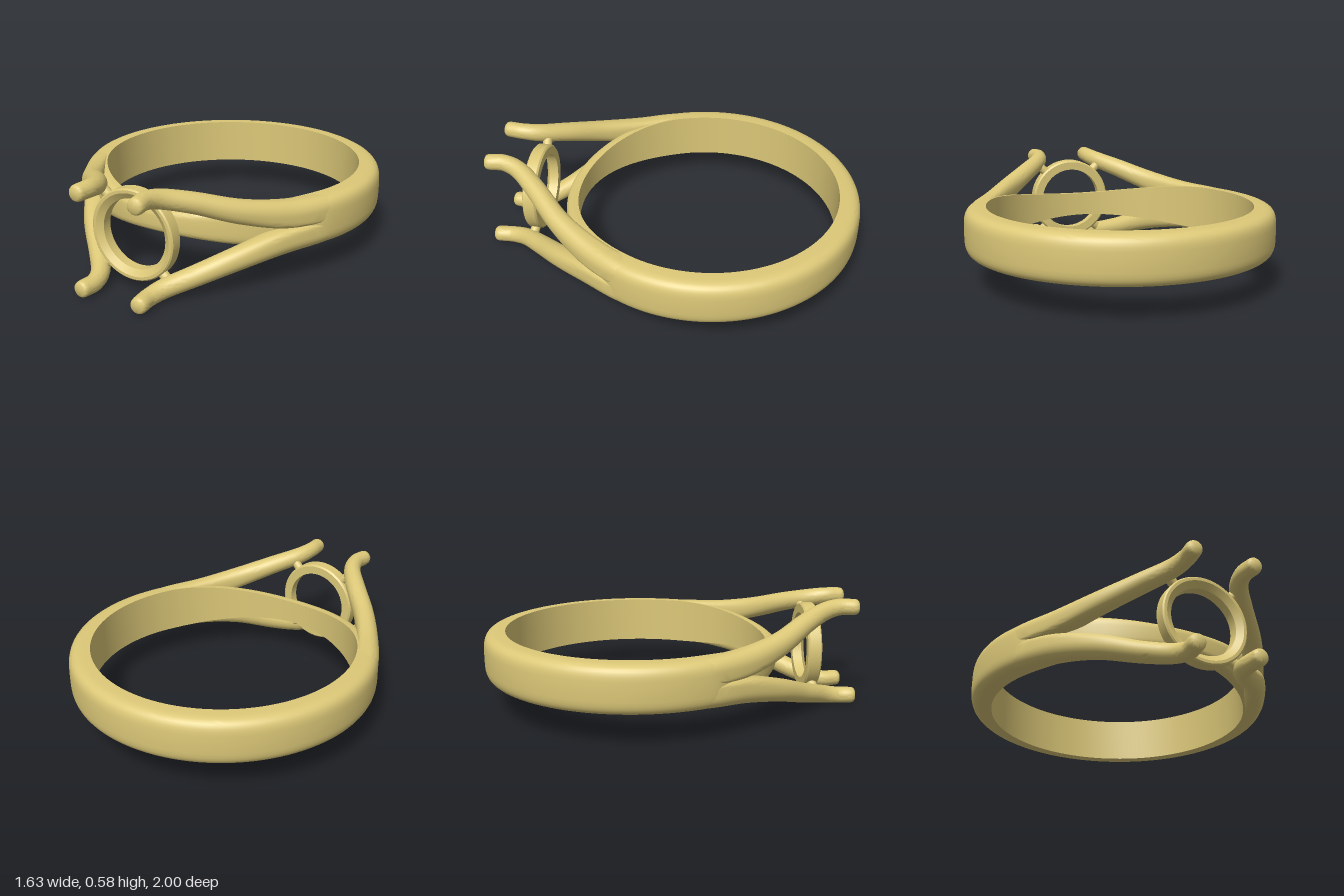
import * as THREE from 'three';
import { toCreasedNormals } from 'three/addons/utils/BufferGeometryUtils.js';

const MID = 0.295;      // height of the ring's middle plane
const CZ = -0.185;      // z of the finger hole's centre
const INNER = 0.7;      // finger hole radius
const material = new THREE.MeshStandardMaterial({ color: 0xdcc878 });

// Skin a list of equal-length closed cross-sections
function loft(rings, closed, flip) {
  const n = rings[0].length;
  const index = [];
  const last = closed ? rings.length : rings.length - 1;
  for (let i = 0; i < last; i++) {
    const i2 = (i + 1) % rings.length;
    for (let j = 0; j < n; j++) {
      const j2 = (j + 1) % n;
      const a = i * n + j, b = i * n + j2, c = i2 * n + j2, d = i2 * n + j;
      if (flip) index.push(a, d, b, b, d, c);
      else index.push(a, b, d, b, c, d);
    }
  }
  const geometry = new THREE.BufferGeometry();
  geometry.setAttribute('position', new THREE.Float32BufferAttribute(
    rings.flat().flatMap((p) => [p.x, p.y, p.z]), 3));
  geometry.setIndex(index);
  return toCreasedNormals(geometry, 0.7);
}

const power = (v, e) => Math.sign(v) * Math.pow(Math.abs(v), e);

function add(group, name, geometry) {
  const mesh = new THREE.Mesh(geometry, material);
  mesh.name = name;
  group.add(mesh);
  return mesh;
}

// Finger band: flat inside, domed outside, narrowing to a slim bridge at the front
function bandGeometry() {
  const rings = [];
  const steps = 160, arc = 20;
  for (let i = 0; i < steps; i++) {
    const angle = (i / steps) * Math.PI * 2;
    const fromFront = Math.min(angle, Math.PI * 2 - angle);
    const half = 0.065 + 0.06 * THREE.MathUtils.smoothstep(fromFront, 0, 1.15);
    const thick = 0.065 + 0.05 * THREE.MathUtils.smoothstep(fromFront, 0.75, 1.15);
    const ring = [];
    for (let j = 0; j <= arc; j++) {
      const t = -Math.PI / 2 + (j / arc) * Math.PI;
      const c = j === 0 || j === arc ? 0 : Math.cos(t);
      const r = INNER + thick * power(c, 0.5);
      ring.push(new THREE.Vector3(
        r * Math.sin(angle), MID + half * power(Math.sin(t), 0.5), CZ + r * Math.cos(angle)));
    }
    rings.push(ring);
  }
  return loft(rings, true, true);
}

// Split shoulder ending in a prong: x, y above the middle, z, half width, half height, roundness
const armKeys = [
  [0.742, 0.060, -0.035, 0.050, 0.056, 0],
  [0.682, 0.0625, 0.144, 0.056, 0.062, 0],
  [0.575, 0.072, 0.330, 0.058, 0.067, 0.35],
  [0.440, 0.120, 0.520, 0.056, 0.060, 0.8],
  [0.290, 0.186, 0.680, 0.054, 0.053, 1],
  [0.192, 0.226, 0.800, 0.048, 0.049, 1],
  [0.160, 0.244, 0.890, 0.044, 0.045, 1],
  [0.165, 0.245, 0.970, 0.043, 0.043, 1],
];

function armGeometry(sx, sy) {
  const path = new THREE.CatmullRomCurve3(
    armKeys.map((k) => new THREE.Vector3(k[0], k[1], k[2])), false, 'catmullrom');
  const size = new THREE.CatmullRomCurve3(
    armKeys.map((k) => new THREE.Vector3(k[3], k[4], k[5])), false, 'catmullrom');
  const rings = [];
  const section = (t, scale, push) => {
    const tangent = path.getTangent(t);
    const out = new THREE.Vector3(tangent.z, 0, -tangent.x).normalize();
    const up = new THREE.Vector3().crossVectors(tangent, out);
    const centre = path.getPoint(t).addScaledVector(tangent, push);
    const s = size.getPoint(t);
    const ring = [];
    for (let j = 0; j < 32; j++) {
      const a = (j / 32) * Math.PI * 2;
      const square = 0.25 + 0.75 * THREE.MathUtils.clamp(s.z, 0, 1);
      const e = j <= 8 ? 1 : square; // only the outer top corner is always round
      const p = centre.clone()
        .addScaledVector(out, s.x * scale * power(Math.cos(a), e))
        .addScaledVector(up, s.y * scale * power(Math.sin(a), e));
      ring.push(new THREE.Vector3(p.x * sx, MID + p.y * sy, p.z));
    }
    rings.push(ring);
  };
  section(0, 0, 0);
  for (let i = 0; i <= 56; i++) section(i / 56, 1, 0);
  // softly rounded tip
  for (const [scale, push] of [[0.97, 0.012], [0.88, 0.022], [0.7, 0.028], [0, 0.03]]) {
    section(1, scale, push);
  }
  return loft(rings, false, sx * sy < 0);
}

// Round stone seat with a chamfered front lip
function seatGeometry() {
  const profile = [
    [0.18, -0.037], [0.226, -0.037], [0.235, -0.028], [0.235, 0.030],
    [0.228, 0.037], [0.213, 0.037], [0.18, 0.015], [0.18, -0.037],
  ].map(([r, h]) => new THREE.Vector2(r, h));
  const lathe = new THREE.LatheGeometry(profile, 72);
  lathe.deleteAttribute('uv');
  lathe.deleteAttribute('normal');
  lathe.rotateX(Math.PI / 2);
  return toCreasedNormals(lathe, 0.5);
}

export function createModel() {
  const model = new THREE.Group();
  model.name = 'ring';
  add(model, 'band', bandGeometry());
  add(model, 'stoneSeat', seatGeometry()).position.set(0, MID, 0.758);

  for (const sx of [1, -1]) {
    for (const sy of [1, -1]) {
      const label = (sy > 0 ? 'upper' : 'lower') + (sx > 0 ? 'Left' : 'Right');
      add(model, label + 'Shoulder', armGeometry(sx, sy));

      // short peg joining the seat to the prong
      const from = new THREE.Vector3(sx * 0.14, MID + sy * 0.16, 0.758);
      const to = new THREE.Vector3(sx * 0.2, MID + sy * 0.214, 0.768);
      const dir = to.clone().sub(from);
      const peg = add(model, label + 'Peg',
        new THREE.CylinderGeometry(0.026, 0.026, dir.length(), 16));
      peg.position.copy(from).add(to).multiplyScalar(0.5);
      peg.quaternion.setFromUnitVectors(new THREE.Vector3(0, 1, 0), dir.normalize());
    }
  }
  return model;
}
